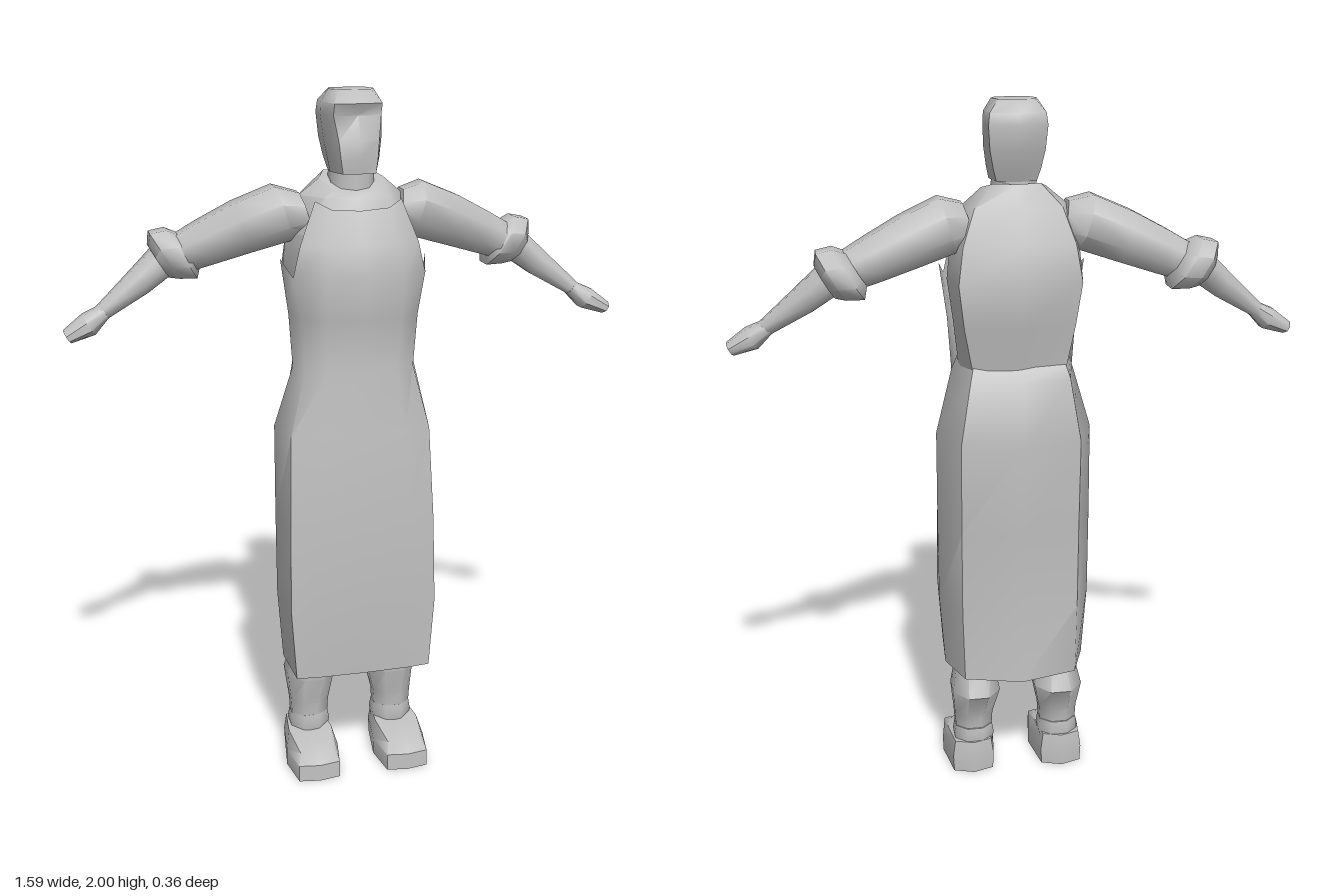
import * as THREE from 'three';
import { mergeGeometries, toCreasedNormals } from 'three/addons/utils/BufferGeometryUtils.js';

const CREASE = 0.9;

// Symmetric closed ring from half a section: [x, z, y?] running front to back
function ring(y, half, cx = 0) {
  const side = (s) => half.map(([x, z, py]) => [cx + s * x, py ?? y, z]);
  return [...side(1), ...side(-1).slice(1, -1).reverse()];
}

// Open strip from the right edge, across the front, to the left edge
function strip(y, half) {
  const side = (s) => half.map(([x, z, py]) => [s * x, py ?? y, z]);
  return [...side(-1).slice(1).reverse(), ...side(1)];
}

// Ellipse across a limb running in the direction [dx, dy]
function oval([x, y, z, ru, rz], [dx, dy], n = 8) {
  const l = Math.hypot(dx, dy);
  return Array.from({ length: n }, (_, i) => {
    const t = ((i + 0.5) / n) * Math.PI * 2;
    const u = ru * Math.cos(t);
    return [x - (dy / l) * u, y + (dx / l) * u, z + rz * Math.sin(t)];
  });
}

// Skin between successive cross-sections
function loft(rings, { closed = true, caps = true } = {}) {
  const n = rings[0].length, pos = rings.flat(2), index = [];
  for (let i = 0; i < rings.length - 1; i++) {
    for (let k = 0; k < (closed ? n : n - 1); k++) {
      const a = i * n + k, b = i * n + (k + 1) % n;
      index.push(a, b, b + n, a, b + n, a + n);
    }
  }
  if (caps) {
    [[0, -1], [rings.length - 1, 1]].forEach(([r, dir]) => {
      const c = pos.length / 3;
      for (let j = 0; j < 3; j++) pos.push(rings[r].reduce((s, p) => s + p[j], 0) / n);
      for (let k = 0; k < n; k++) {
        const a = r * n + k, b = r * n + (k + 1) % n;
        index.push(...(dir > 0 ? [a, b, c] : [b, a, c]));
      }
    });
  }
  const g = new THREE.BufferGeometry();
  g.setAttribute('position', new THREE.Float32BufferAttribute(pos, 3));
  g.setIndex(index);
  return g;
}

const flip = (rings) => rings.map((r) => r.map(([x, y, z]) => [-x, y, z]).reverse());

export function createModel() {
  const model = new THREE.Group();
  const grey = new THREE.MeshStandardMaterial({ color: 0xc0c0c0, side: THREE.DoubleSide });
  grey.name = 'plain grey';

  const add = (name, geometry) => {
    const mesh = new THREE.Mesh(toCreasedNormals(geometry, CREASE), grey);
    mesh.name = name;
    model.add(mesh);
  };
  const addPair = (name, rings) => {
    add('left' + name, loft(rings));
    add('right' + name, loft(flip(rings)));
  };

  // Head with a jutting brow, and neck
  add('head', loft([
    ring(1.785, [[0, 0.105], [0.045, 0.1], [0.065, 0.03], [0.055, -0.05], [0, -0.065]]),
    ring(1.82, [[0, 0.112], [0.05, 0.1], [0.072, 0.03], [0.065, -0.06], [0, -0.08]]),
    ring(1.87, [[0, 0.115], [0.055, 0.095], [0.08, 0.02], [0.075, -0.07], [0, -0.1]]),
    ring(1.935, [[0, 0.08], [0.065, 0.075], [0.085, 0], [0.08, -0.08], [0, -0.112]]),
    ring(1.967, [[0, 0.098], [0.065, 0.088], [0.083, 0], [0.076, -0.075], [0, -0.105]]),
    ring(2.0, [[0, 0.045], [0.045, 0.04], [0.062, 0], [0.05, -0.05], [0, -0.06]]),
  ]));
  add('neck', new THREE.CylinderGeometry(0.062, 0.066, 0.1, 10).translate(0, 1.755, 0));

  // Shirt body, sloping up to the back of the collar
  add('shirt', loft([
    ring(1.24, [[0, 0.1], [0.12, 0.085], [0.155, 0], [0.125, -0.1], [0, -0.115]]),
    ring(1.4, [[0, 0.13], [0.14, 0.1], [0.172, 0], [0.155, -0.115], [0, -0.15]]),
    ring(1.52, [[0, 0.14], [0.15, 0.11], [0.19, -0.02], [0.17, -0.13], [0, -0.175]]),
    ring(1.62, [[0, 0.12], [0.13, 0.09], [0.18, -0.02], [0.155, -0.11], [0, -0.14]]),
    ring(1.72, [[0, 0.095], [0.09, 0.075], [0.145, -0.01], [0.12, -0.085], [0, -0.105]]),
    ring(1.76, [[0, 0.07, 1.735], [0.06, 0.055, 1.74], [0.09, 0, 1.765], [0.065, -0.055, 1.78], [0, -0.075, 1.78]]),
  ]));

  // Apron: bib, side wings and skirt sharing their edges
  const bibBase = [[0, 0.178], [0.11, 0.165], [0.185, 0.105, 1.515]];
  const waist = [[0, 0.145], [0.1, 0.135], [0.155, 0.1], [0.175, 0.03]];
  const bib = loft([
    strip(1.52, bibBase),
    strip(1.6, [[0, 0.155], [0.1, 0.145], [0.165, 0.105]]),
    strip(1.7, [[0, 0.118, 1.69], [0.08, 0.11, 1.695], [0.12, 0.088, 1.715]]),
  ], { closed: false, caps: false });
  const wings = loft([
    strip(1.25, waist),
    strip(1.4, [[0, 0.163], [0.105, 0.152], [0.165, 0.105], [0.185, 0.03]]),
    strip(1.52, [...bibBase, [0.206, 0.03, 1.555]]),
  ], { closed: false, caps: false });
  const skirt = loft([
    ring(0.34, [[0, 0.168], [0.14, 0.165], [0.2, 0.158], [0.21, 0], [0.165, -0.125], [0, -0.17]]),
    ring(0.55, [[0, 0.18], [0.14, 0.173], [0.214, 0.16], [0.225, 0], [0.17, -0.12], [0, -0.158]]),
    ring(0.8, [[0, 0.178], [0.14, 0.17], [0.21, 0.147], [0.226, 0], [0.17, -0.125], [0, -0.165]]),
    ring(1.07, [[0, 0.165], [0.12, 0.155], [0.2, 0.12], [0.225, 0], [0.17, -0.138], [0, -0.18]]),
    ring(1.25, [...waist, [0.14, -0.125], [0, -0.155]]),
    ring(1.285, [[0, 0.138], [0.095, 0.128], [0.148, 0.09], [0.162, 0.02], [0.13, -0.105], [0, -0.118]]),
  ], { caps: false });
  add('apron', mergeGeometries([bib, wings, skirt]));

  // Sleeves, rolled cuffs, forearms and hands
  const limb = (dir, rows) => rows.map((r) => oval(r, dir));
  addPair('Sleeve', limb([1, -0.3], [
    [0.13, 1.675, -0.015, 0.06, 0.07],
    [0.19, 1.672, -0.03, 0.083, 0.095],
    [0.3, 1.632, -0.055, 0.077, 0.086],
    [0.4, 1.59, -0.072, 0.066, 0.073],
    [0.47, 1.56, -0.08, 0.056, 0.062],
  ]));
  addPair('Cuff', limb([1, -0.6], [
    [0.44, 1.57, -0.085, 0.056, 0.062],
    [0.462, 1.56, -0.093, 0.086, 0.082],
    [0.508, 1.556, -0.098, 0.08, 0.08],
    [0.525, 1.54, -0.095, 0.055, 0.058],
  ]));
  addPair('Forearm', limb([1, -0.75], [
    [0.5, 1.555, -0.09, 0.05, 0.048],
    [0.58, 1.49, -0.076, 0.041, 0.041],
    [0.69, 1.41, -0.058, 0.023, 0.028],
  ]));
  addPair('Hand', limb([1, -0.6], [
    [0.68, 1.415, -0.058, 0.022, 0.028],
    [0.725, 1.383, -0.05, 0.034, 0.043],
    [0.785, 1.353, -0.043, 0.02, 0.037],
  ]));

  // Trouser legs with a bulging calf, and ankle bands
  const legRings = (rows) => rows.map(([x, y, z, rx, rz]) => oval([x, y, z, rx, rz], [0, 1]));
  addPair('Leg', legRings([
    [0.13, 0.12, -0.02, 0.058, 0.052],
    [0.13, 0.18, -0.02, 0.062, 0.054],
    [0.125, 0.27, -0.035, 0.077, 0.096],
    [0.125, 0.35, -0.01, 0.058, 0.066],
    [0.12, 0.55, 0, 0.075, 0.09],
  ]));
  addPair('Ankle', legRings([
    [0.13, 0.08, -0.022, 0.06, 0.055],
    [0.13, 0.11, -0.022, 0.065, 0.06],
    [0.13, 0.14, -0.022, 0.06, 0.055],
  ]));

  // Shoes with low squared toes
  addPair('Shoe', [
    ring(0, [[0, 0.175], [0.062, 0.165], [0.079, 0.06], [0.06, -0.07], [0, -0.09]], 0.136),
    ring(0.05, [[0, 0.173], [0.062, 0.163], [0.079, 0.06], [0.062, -0.072], [0, -0.092]], 0.136),
    ring(0.1, [[0, 0.14, 0.073], [0.05, 0.13, 0.073], [0.066, 0.03, 0.097], [0.055, -0.068], [0, -0.086]], 0.136),
  ]);

  return model;
}
